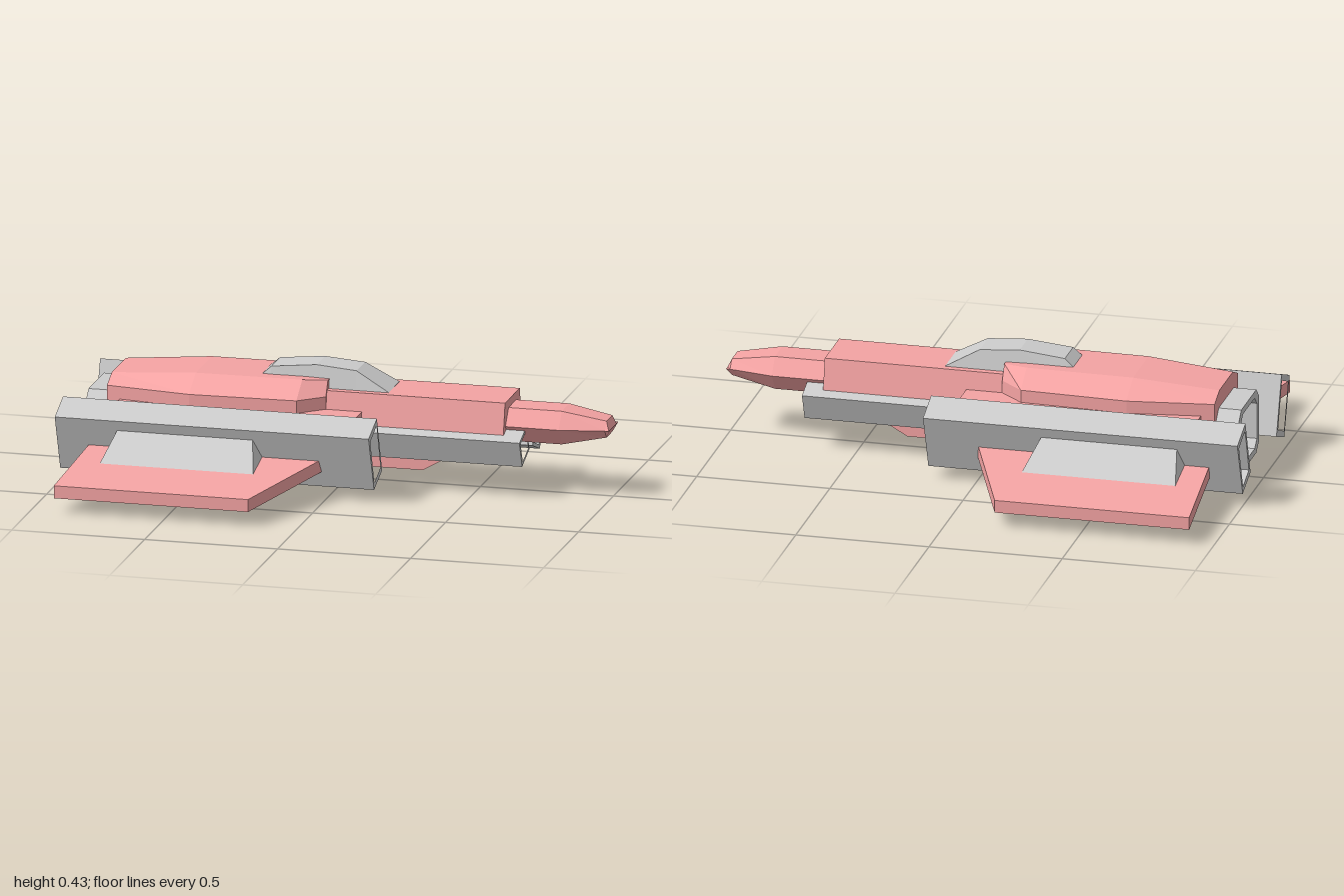
import * as THREE from 'three';

const grey = new THREE.MeshStandardMaterial({ color: 0xcccccc, flatShading: true });
const pink = new THREE.MeshStandardMaterial({ color: 0xf4a3a3, flatShading: true });

// Skin a row of rings, each a list of [x, y, z], and cap both ends.
function loft(rings) {
  const n = rings[0].length;
  const tris = [];
  for (let r = 0; r < rings.length - 1; r++) {
    for (let i = 0; i < n; i++) {
      const j = (i + 1) % n;
      const a = rings[r][i], b = rings[r][j], c = rings[r + 1][j], d = rings[r + 1][i];
      tris.push([a, b, c], [a, c, d]);
    }
  }
  const first = rings[0], last = rings[rings.length - 1];
  for (let i = 1; i < n - 1; i++) {
    tris.push([first[0], first[i + 1], first[i]], [last[0], last[i], last[i + 1]]);
  }
  // Turn the faces outward whichever way the rings were listed
  let volume = 0;
  const [A, B, C] = [0, 1, 2].map(() => new THREE.Vector3());
  for (const t of tris) volume += A.fromArray(t[0]).dot(B.fromArray(t[1]).cross(C.fromArray(t[2])));
  if (volume < 0) tris.forEach((t) => t.reverse());
  const geo = new THREE.BufferGeometry();
  geo.setAttribute('position', new THREE.Float32BufferAttribute(tris.flat(2), 3));
  geo.computeVertexNormals();
  return geo;
}

// Ring at x from [z, y] corners
const ring = (x, pts) => pts.map(([z, y]) => [x, y, z]);

// Symmetric ring at x from the +z half, listed top to bottom
function symRing(x, half) {
  return ring(x, [...half, ...half.slice().reverse().map(([z, y]) => [-z, y])]);
}

function addMesh(parent, name, geo, mat) {
  const mesh = new THREE.Mesh(geo, mat);
  mesh.name = name;
  parent.add(mesh);
  return mesh;
}

// Thick-walled duct along x with a recessed plug at each end
function duct(parent, name, pts, x0, x1, scale, depth) {
  const group = new THREE.Group();
  group.name = name;
  const cz = pts.reduce((s, p) => s + p[0], 0) / pts.length;
  const cy = pts.reduce((s, p) => s + p[1], 0) / pts.length;
  const inner = pts.map(([z, y]) => [cz + (z - cz) * scale[0], cy + (y - cy) * scale[1]]);
  const toVec = ([z, y]) => new THREE.Vector2(-z, y);
  const shape = new THREE.Shape(pts.map(toVec));
  shape.holes.push(new THREE.Path(inner.map(toVec)));
  const wall = new THREE.ExtrudeGeometry(shape, { depth: x1 - x0, bevelEnabled: false });
  wall.rotateY(Math.PI / 2).translate(x0, 0, 0);
  addMesh(group, name + 'Wall', wall, grey);
  addMesh(group, name + 'Plug', loft([ring(x0 + depth, inner), ring(x1 - depth, inner)]), grey);
  parent.add(group);
}

export function createModel() {
  const model = new THREE.Group();
  model.name = 'spacecraft';

  // Hull block
  const hull = [[0.25, 0.288], [0.26, 0.065], [0.2, 0.045]];
  addMesh(model, 'hull', loft([symRing(-0.81, hull), symRing(0.085, hull)]), pink);

  // Upper deck: x, half width, top half width, top height
  const deck = [[-0.86, 0.17, 0.1, 0.365], [-0.54, 0.215, 0.115, 0.39],
    [-0.14, 0.2, 0.115, 0.392], [-0.05, 0.12, 0.09, 0.39]];
  addMesh(model, 'upperDeck', loft(deck.map(([x, w, t, y]) =>
    symRing(x, [[t, y], [w, 0.335], [w, 0.25]]))), pink);

  // Belly: x, half width, bottom half width, bottom height
  const belly = [[-0.86, 0.21, 0.1, 0.037], [-0.4, 0.26, 0.1, 0.003], [-0.05, 0.21, 0.1, 0.037]];
  addMesh(model, 'belly', loft(belly.map(([x, w, b, y]) =>
    symRing(x, [[w, 0.14], [w, 0.065], [b, y]]))), pink);

  // Forward fuselage and nose cone
  const neck = [[0.105, 0.355], [0.13, 0.24]];
  addMesh(model, 'forwardFuselage', loft([symRing(-0.3, neck), symRing(0.62, neck)]), pink);
  const nose = [[0.055, 0.325], [0.1, 0.265], [0.055, 0.2]];
  const noseEnd = [[0.042, 0.296], [0.068, 0.265], [0.042, 0.234]];
  addMesh(model, 'noseCone', loft([symRing(0.55, nose), symRing(0.82, nose),
    symRing(0.985, noseEnd), symRing(1, noseEnd.map(([z]) => [z, 0.265]))]), pink);

  // Keel with a sloping front, and a small chin block
  addMesh(model, 'keel', loft([
    symRing(-0.1, [[0.05, 0.2], [0.105, 0.13], [0.105, 0.08]]),
    symRing(0.31, [[0.05, 0.2], [0.105, 0.13], [0.105, 0.08]]),
    symRing(0.39, [[0.05, 0.2], [0.105, 0.13], [0.105, 0.125]])]), pink);
  const chin = new THREE.BoxGeometry(0.14, 0.045, 0.09).translate(0, 0.045, 0);
  addMesh(model, 'chinBlock', chin, pink);

  // Canopy: x, top height, half width at the top
  const canopy = [[-0.31, 0.385, 0.065], [-0.27, 0.42, 0.062], [-0.1, 0.437, 0.06],
    [0.05, 0.425, 0.062], [0.175, 0.356, 0.078]];
  addMesh(model, 'canopy', loft(canopy.map(([x, y, w]) =>
    symRing(x, [[w, y], [0.08, 0.345]]))), grey);

  // Rear engine
  const engine = [[0.11, 0.3], [0.152, 0.26], [0.152, 0.09], [0.11, 0.055]];
  const engineRing = symRing(0, engine).map(([, y, z]) => [z, y]);
  duct(model, 'rearEngine', engineRing, -0.945, -0.6, [0.78, 0.8], 0.1);

  for (const s of [1, -1]) {
    const side = s > 0 ? 'left' : 'right';
    const flip = (pts) => pts.map(([z, y]) => [z * s, y]);

    // Tilted nacelle and the long pod beneath the fuselage
    duct(model, side + 'Nacelle',
      flip([[0.384, 0.263], [0.265, 0.308], [0.19, 0.093], [0.305, 0.05]]),
      -1, 0.18, [0.75, 0.8], 0.04);
    duct(model, side + 'Pod',
      flip([[0.167, 0.225], [0.06, 0.262], [0.023, 0.165], [0.127, 0.125]]),
      0, 0.69, [0.75, 0.75], 0.03);

    // Swept wing, root to tip
    const wingRing = (z, back, front, y) => [[back, y, z * s], [front, y, z * s],
      [front, y + 0.047, z * s], [back, y + 0.047, z * s]];
    addMesh(model, side + 'Wing', loft([
      wingRing(0.3, -0.88, 0, 0.114), wingRing(0.74, -0.91, -0.18, 0.059)]), pink);

    // Wedge fairing between nacelle and wing
    const wedge = (xTop, xLow) => [[xTop, 0.237, 0.35 * s], [xLow, 0.13, 0.515 * s], [xLow, 0.13, 0.33 * s]];
    addMesh(model, side + 'WingFairing', loft([wedge(-0.765, -0.8), wedge(-0.265, -0.22)]), grey);
  }
  return model;
}
